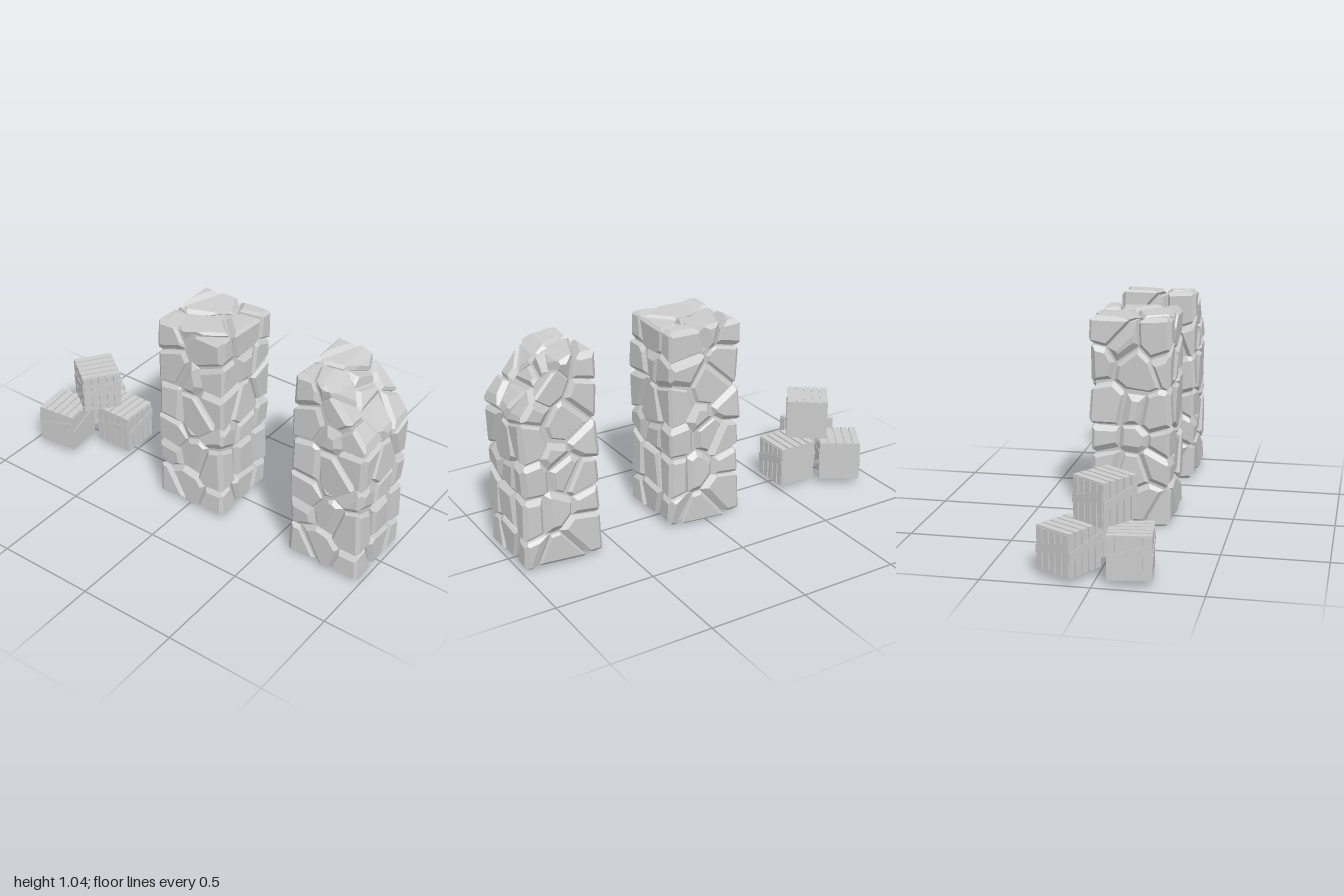
import * as THREE from 'three';
import { ConvexGeometry } from 'three/addons/geometries/ConvexGeometry.js';

const V = (x, y, z) => new THREE.Vector3(x, y, z);
const stoneMat = new THREE.MeshStandardMaterial({ color: 0xcccccc, flatShading: true });
const woodMat = new THREE.MeshStandardMaterial({ color: 0xcccccc, flatShading: true });

function seeded(s) {
  return () => {
    s = (s * 1664525 + 1013904223) % 4294967296;
    return s / 4294967296;
  };
}

// corner points of the solid n·p <= d, with the planes that touch each corner
function corners(planes) {
  const found = new Map();
  const cross = V(0, 0, 0), p = V(0, 0, 0), t = V(0, 0, 0);
  for (let i = 0; i < planes.length; i++)
    for (let j = i + 1; j < planes.length; j++)
      for (let k = j + 1; k < planes.length; k++) {
        const [a, b, c] = [planes[i], planes[j], planes[k]];
        cross.crossVectors(b.n, c.n);
        const det = a.n.dot(cross);
        if (Math.abs(det) < 1e-3) continue;
        p.copy(cross).multiplyScalar(a.d);
        p.addScaledVector(t.crossVectors(c.n, a.n), b.d);
        p.addScaledVector(t.crossVectors(a.n, b.n), c.d).divideScalar(det);
        if (planes.some(q => q.n.dot(p) > q.d + 1e-5)) continue;
        const key = [p.x, p.y, p.z].map(v => Math.round(v * 2000)).join();
        if (!found.has(key)) found.set(key, { p: p.clone(), planes: new Set() });
        [a, b, c].forEach(q => found.get(key).planes.add(q));
      }
  return [...found.values()];
}

// outer faces of a pillar, optionally with a sloping broken top at the front
function pillarPlanes(broken) {
  const list = [
    { n: V(1, 0, 0), d: 0.2 }, { n: V(-1, 0, 0), d: 0.2 },
    { n: V(0, 0, 1), d: 0.2 }, { n: V(0, 0, -1), d: 0.2 },
    { n: V(0, 1, 0), d: 1.03 }, { n: V(0, -1, 0), d: 0 },
  ];
  if (broken) {
    const n = V(0, 0.66, 0.75).normalize();
    list.push({ n, d: n.dot(V(0, 0.885, 0.1)) });
    const m = V(0, 0.93, 0.35).normalize();
    list.push({ n: m, d: m.dot(V(0, 1.01, -0.01)) });
  }
  return list;
}

// one chamfered stone: a cell around its seed, trimmed by the pillar faces
function stone(seed, seeds, shell, rnd) {
  const joints = seeds.filter(s => s !== seed)
    .sort((a, b) => a.distanceTo(seed) - b.distanceTo(seed)).slice(0, 18)
    .map(s => {
      const n = s.clone().sub(seed).normalize();
      return { n, d: n.dot(s.clone().add(seed).multiplyScalar(0.5)) - 0.003 };
    });
  const faces = shell.map(f => {
    const tilt = 0.13;
    const n = f.n.clone().add(V(rnd() - 0.5, rnd() - 0.5, rnd() - 0.5).multiplyScalar(tilt)).normalize();
    const onFace = seed.clone().addScaledVector(f.n, f.d - f.n.dot(seed) - rnd() * 0.008);
    return { n, d: n.dot(onFace), outer: true };
  });
  const limits = shell.map(f => ({ n: f.n, d: f.d + 0.006, outer: true }));
  const planes = [...joints, ...faces, ...limits];
  const raw = corners(planes);
  if (raw.length < 4) return null;

  // bevel every edge that lies on the outside
  const bevels = new Map();
  for (const c of raw) {
    const around = [...c.planes];
    for (const a of around) for (const b of around) {
      if (a === b || !a.outer || a.n.dot(b.n) > 0.85) continue;
      const key = [planes.indexOf(a), planes.indexOf(b)].sort().join();
      if (bevels.has(key)) continue;
      const n = a.n.clone().add(b.n), len = n.length();
      const cut = 0.008 + rnd() * 0.012;
      if (len > 0.3) bevels.set(key, { n: n.divideScalar(len), d: (a.d + b.d) / len - cut });
    }
  }
  const active = planes.filter(q => raw.some(c => c.planes.has(q)));
  const pts = corners([...active, ...bevels.values()]).map(c => c.p);
  return pts.length < 4 ? null : new ConvexGeometry(pts);
}

function pillar(name, broken) {
  const g = new THREE.Group();
  g.name = name;
  const rnd = seeded(77), shell = pillarPlanes(broken);
  const seeds = [];
  const rows = 6, step = 1.03 / rows;
  for (let r = 0; r < rows; r++)
    for (let i = 0; i < 3; i++)
      for (let k = 0; k < 3; k++) {
        const s = V((i - 1) * 0.14, (r + 0.5) * step, (k - 1) * 0.14);
        s.add(V((rnd() - 0.5) * 0.11, (rnd() - 0.5) * 0.13, (rnd() - 0.5) * 0.11));
        if (i !== 1 || k !== 1 || r === 0 || r === rows - 1) seeds.push(s);
      }
  // seeds above the broken slope are pulled below it
  for (const s of seeds) for (const f of shell) {
    const over = f.n.dot(s) - (f.d - 0.025);
    if (over > 0) s.addScaledVector(f.n, -over);
  }
  seeds.forEach((s, i) => {
    const geo = stone(s, seeds, shell, seeded(500 + i * 31));
    if (!geo) return;
    const m = new THREE.Mesh(geo, stoneMat);
    m.name = 'stone';
    g.add(m);
  });
  // mortar core behind the joints
  const core = corners(shell.map(f => ({ n: f.n, d: f.d - 0.028 }))).map(c => c.p);
  const mesh = new THREE.Mesh(new ConvexGeometry(core), stoneMat);
  mesh.name = 'mortarCore';
  g.add(mesh);
  return g;
}

function board(parent, name, w, h, d, x, y, z) {
  const m = new THREE.Mesh(new THREE.BoxGeometry(w, h, d), woodMat);
  m.name = name;
  m.position.set(x, y, z);
  parent.add(m);
  return m;
}

// slatted crate, origin at the middle of its base
function crate(x, y, z, turn) {
  const g = new THREE.Group();
  g.name = 'crate';
  const W = 0.2, H = 0.205, D = 0.21, t = 0.007, n = 5;
  board(g, 'crateBody', W - 2 * t, H - t, D - 2 * t, 0, (H - t) / 2, 0);
  board(g, 'plainSide', t, H - t, D - t, W / 2 - t / 2, (H - t) / 2, 0);
  for (let i = 0; i < n; i++) {
    const u = (i + 0.5) / n - 0.5;
    board(g, 'lidSlat', W, t, D / n - 0.008, 0, H - t / 2, u * D);
    board(g, 'sideSlat', t, H - t, D / n - 0.008, -W / 2 + t / 2, (H - t) / 2, u * D);
    for (const s of [-1, 1])
      board(g, 'wallSlat', W / n - 0.008, H - t, t, u * W, (H - t) / 2, s * (D / 2 - t / 2));
  }
  // slanting braces
  const brace = new THREE.Shape([[-1, 0.075], [1, 0.125], [1, 0.165], [-1, 0.115]]
    .map(([a, b]) => new THREE.Vector2(a * W / 2, b)));
  const geo = new THREE.ExtrudeGeometry(brace, { depth: 0.004, bevelEnabled: false });
  for (const a of [0, Math.PI, -Math.PI / 2]) {
    const m = new THREE.Mesh(geo, woodMat);
    m.name = 'brace';
    const out = (a === -Math.PI / 2 ? W : D) / 2 - 0.001;
    m.position.set(Math.sin(a) * out, 0, Math.cos(a) * out);
    m.rotation.y = a;
    g.add(m);
  }
  g.position.set(x, y, z);
  g.rotation.y = turn;
  return g;
}

export function createModel() {
  const model = new THREE.Group();
  model.name = 'pillarsAndCrates';
  const back = pillar('stonePillar', false);
  back.position.set(-0.013, 0.006, 0.013);
  const front = pillar('brokenStonePillar', true);
  front.position.set(-0.013, 0.006, 0.79);
  model.add(back, front,
    crate(0.022, 0.03, -0.602, 0),
    crate(-0.15, 0.03, -0.857, 0.12),
    crate(0.13, 0.03, -0.853, -0.54),
    crate(-0.013, 0.235, -0.75, -0.62));
  return model;
}
